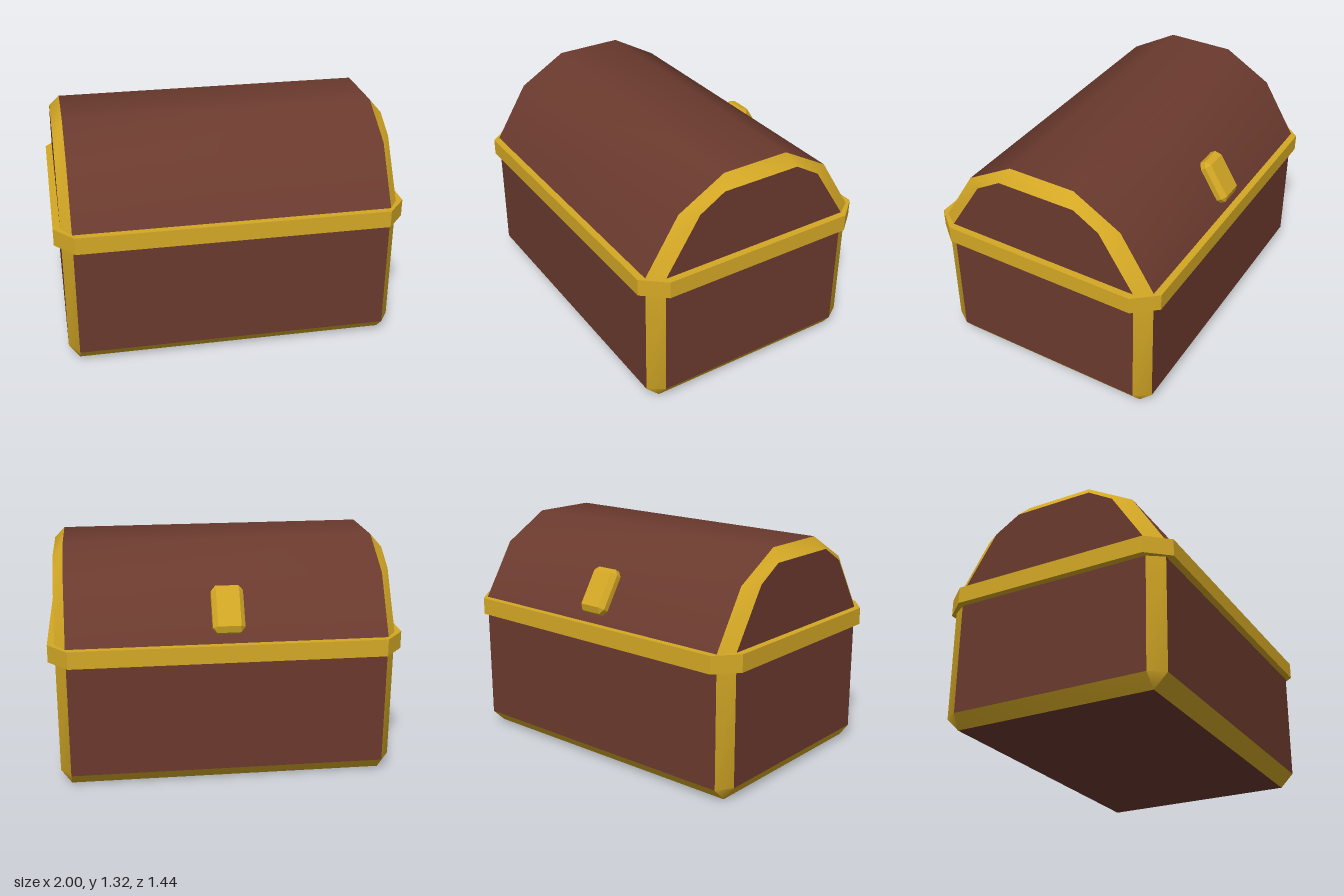
import * as THREE from 'three';
import { toCreasedNormals } from 'three/addons/utils/BufferGeometryUtils.js';
import { ConvexGeometry } from 'three/addons/geometries/ConvexGeometry.js';

const wood = new THREE.MeshStandardMaterial({ color: 0x6b3a2e });
const gold = new THREE.MeshStandardMaterial({ color: 0xd4a825 });

function mesh(name, geometry, material) {
  const m = new THREE.Mesh(geometry, material);
  m.name = name;
  return m;
}

// Collects triangles, leaving out collapsed ones
class Faces {
  positions = [];
  tri(a, b, c) {
    if (a.equals(b) || b.equals(c) || a.equals(c)) return;
    for (const p of [a, b, c]) this.positions.push(p.x, p.y, p.z);
  }
  quad(a, b, c, d) {
    this.tri(a, b, c);
    this.tri(a, c, d);
  }
  build() {
    const g = new THREE.BufferGeometry();
    g.setAttribute('position', new THREE.Float32BufferAttribute(this.positions, 3));
    return toCreasedNormals(g, 0.52);
  }
}

// Mirrors half a [z, y] profile, so that it runs over both sides
const mirrored = (half) => [...half, ...half.slice().reverse().map(([z, y]) => [-z, y])];

// Half of the chest: wooden panels with gold bevels around both ends.
// isTrim tells which lengthwise strips are gold as well.
function shell(name, outer, inner, isTrim) {
  const panels = new Faces(), trim = new Faces();
  const ring = (profile, x) => profile.map(([z, y]) => new THREE.Vector3(x, y, z));
  const rings = [ring(inner, -0.96), ring(outer, -0.9), ring(outer, 0.9), ring(inner, 0.96)];
  for (let r = 0; r < 3; r++) {
    for (let i = 0; i < outer.length - 1; i++) {
      const target = r !== 1 || isTrim(i) ? trim : panels;
      target.quad(rings[r][i], rings[r + 1][i], rings[r + 1][i + 1], rings[r][i + 1]);
    }
  }
  // end panels
  const [left, right] = [rings[3], rings[0]];
  for (let i = 1; i < inner.length - 1; i++) {
    panels.tri(left[0], left[i + 1], left[i]);
    panels.tri(right[0], right[i], right[i + 1]);
  }
  const group = new THREE.Group();
  group.name = name;
  group.add(mesh(name + 'Panels', panels.build(), wood), mesh(name + 'Trim', trim.build(), gold));
  return group;
}

// Rectangle with cut corners, given by its half sizes
const cutRectangle = (w, h, cx, cy) => [
  [w, -h + cy], [w, h - cy], [w - cx, h], [-w + cx, h],
  [-w, h - cy], [-w, -h + cy], [-w + cx, -h], [w - cx, -h],
].map(([x, y]) => new THREE.Vector2(x, y));

export function createModel() {
  const chest = new THREE.Group();
  chest.name = 'chest';

  // Box, bevelled along its bottom edges
  chest.add(shell('body',
    mirrored([[-0.68, 0.84], [-0.68, 0.08], [-0.6, 0]]),
    mirrored([[-0.59, 0.84], [-0.59, 0.08], [-0.59, 0.08]]),
    (i) => i === 1 || i === 3));

  // Faceted lid
  chest.add(shell('lid',
    mirrored([[0.68, 0.84], [0.48, 1.16], [0.2, 1.32]]),
    mirrored([[0.59, 0.84], [0.385, 1.16], [0.235, 1.25]]),
    () => false));

  // Band around the rim
  const bandGeometry = new THREE.ExtrudeGeometry(
    new THREE.Shape(cutRectangle(1, 0.72, 0.11, 0.13)), { depth: 0.1, bevelEnabled: false });
  bandGeometry.rotateX(-Math.PI / 2);
  const band = mesh('rimBand', bandGeometry, gold);
  band.position.y = 0.74;
  chest.add(band);

  // Bevelled latch lying on the slope of the lid
  const at = (points, z) => points.map((p) => new THREE.Vector3(p.x, p.y, z));
  const base = cutRectangle(0.09, 0.135, 0.025, 0.03);
  const face = cutRectangle(0.065, 0.105, 0, 0).filter((p, i) => i % 2 === 0);
  const latch = mesh('latch',
    new ConvexGeometry([...at(base, -0.005), ...at(base, 0.032), ...at(face, 0.06)]), gold);
  latch.position.set(0, 1, -0.58);
  latch.rotation.set(Math.atan2(0.2, 0.32), Math.PI, 0);
  chest.add(latch);

  return chest;
}
